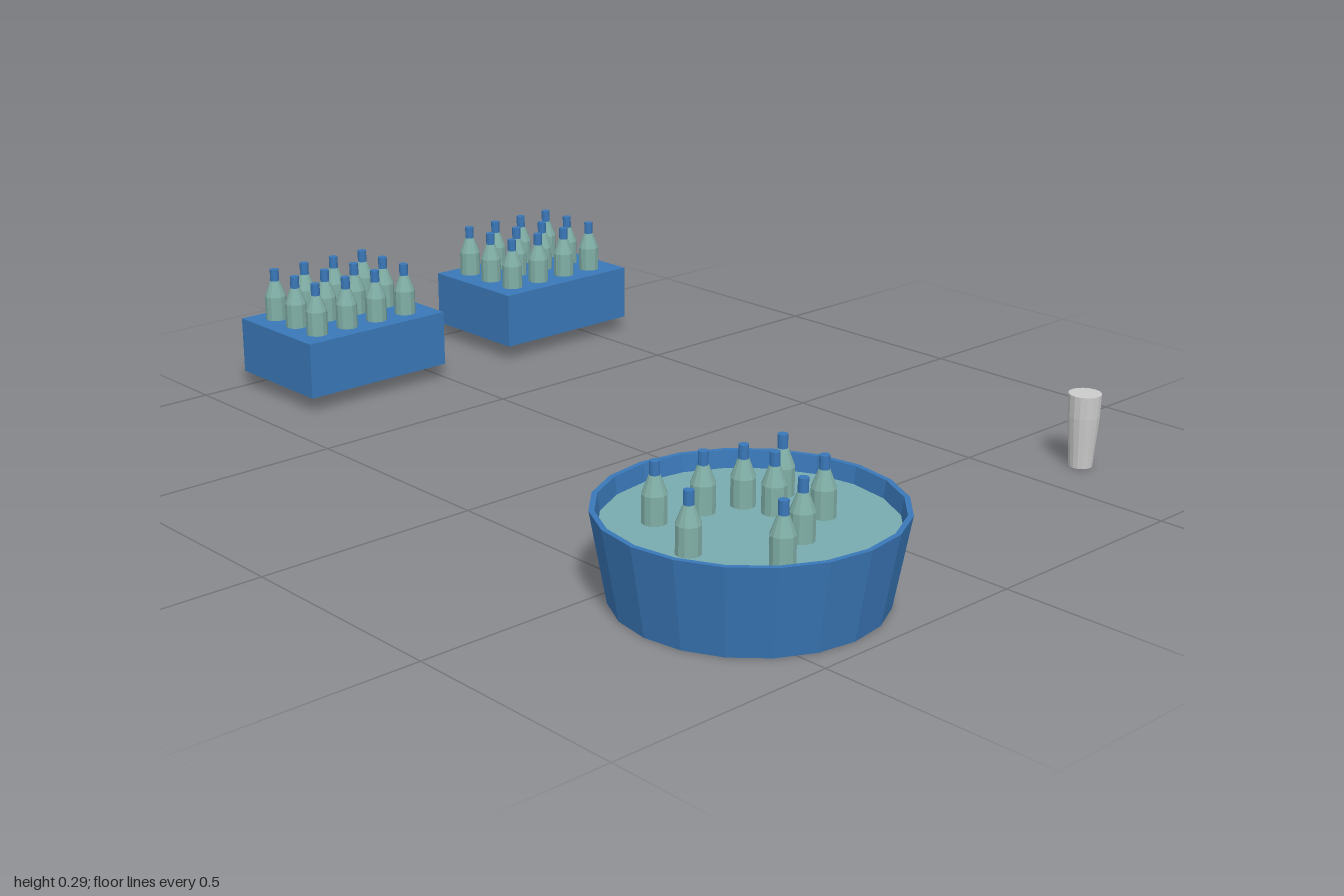
import * as THREE from 'three';

const material = (color, side = THREE.FrontSide) =>
  new THREE.MeshStandardMaterial({ color, side, flatShading: true });
const blue = material(0x3a78b8);
const green = material(0x80aea6);
const waterGreen = material(0x79acb0);
const grey = material(0xcccccc);

function part(name, geometry, mat, x = 0, y = 0, z = 0) {
  const mesh = new THREE.Mesh(geometry, mat);
  mesh.name = name;
  mesh.position.set(x, y, z);
  return mesh;
}

const lathe = (points, sides) =>
  new THREE.LatheGeometry(points.map(([r, y]) => new THREE.Vector2(r, y)), sides);

// Bottle: straight body, sloping shoulder and a capped neck; origin at its base
const bottleBody = lathe([[0, 0], [0.025, 0], [0.025, 0.175], [0.011, 0.212], [0, 0.212]], 12);
const bottleCap = new THREE.CylinderGeometry(0.0105, 0.0105, 0.03, 12);

function bottle(x, y, z) {
  const group = new THREE.Group();
  group.name = 'bottle';
  group.add(part('bottleBody', bottleBody, green), part('bottleCap', bottleCap, blue, 0, 0.225, 0));
  group.position.set(x, y, z);
  return group;
}

// Crate holding a 4 by 3 array of bottles
function crate(x) {
  const group = new THREE.Group();
  group.name = 'crate';
  group.add(part('crateBox', new THREE.BoxGeometry(0.386, 0.131, 0.283), blue, 0, 0.102, 0));
  for (let i = 0; i < 4; i++) {
    for (let j = 0; j < 3; j++) {
      group.add(bottle(-0.131 + i * 0.0845, 0.049, (j - 1) * 0.0845 - 0.002));
    }
  }
  group.position.set(x, 0, -0.858);
  return group;
}

// Round tub with a thin rim, filled with water and floating bottles
function tub() {
  const group = new THREE.Group();
  group.name = 'tub';
  const wall = [[0, 0], [0.267, 0], [0.3, 0.186], [0.289, 0.186], [0.283, 0.14]];
  group.add(part('tubShell', lathe(wall, 20), blue));
  const water = part('water', new THREE.CircleGeometry(0.285, 20), waterGreen, 0, 0.15, 0);
  water.rotation.x = -Math.PI / 2;
  group.add(water);
  const spots = [
    [-0.13, -0.12], [-0.028, -0.097], [0.051, -0.07], [0.146, -0.06], [0.067, -0.004],
    [-0.186, 0.029], [0.121, 0.071], [0.008, 0.124], [-0.097, 0.176],
  ];
  for (const [x, z] of spots) group.add(bottle(x, 0.032, z));
  group.position.set(-0.381, 0, 0.695);
  return group;
}

export function createModel() {
  const model = new THREE.Group();
  model.name = 'drinksSet';
  model.add(crate(-0.196), crate(0.391), tub());

  // Tapered drinking glass, filled to the brim
  const glass = [[0, 0], [0.026, 0], [0.028, 0.03], [0.035, 0.115], [0.036, 0.165], [0, 0.165]];
  model.add(part('glass', lathe(glass, 16), grey, 0.642, 0, 0.693));
  return model;
}
